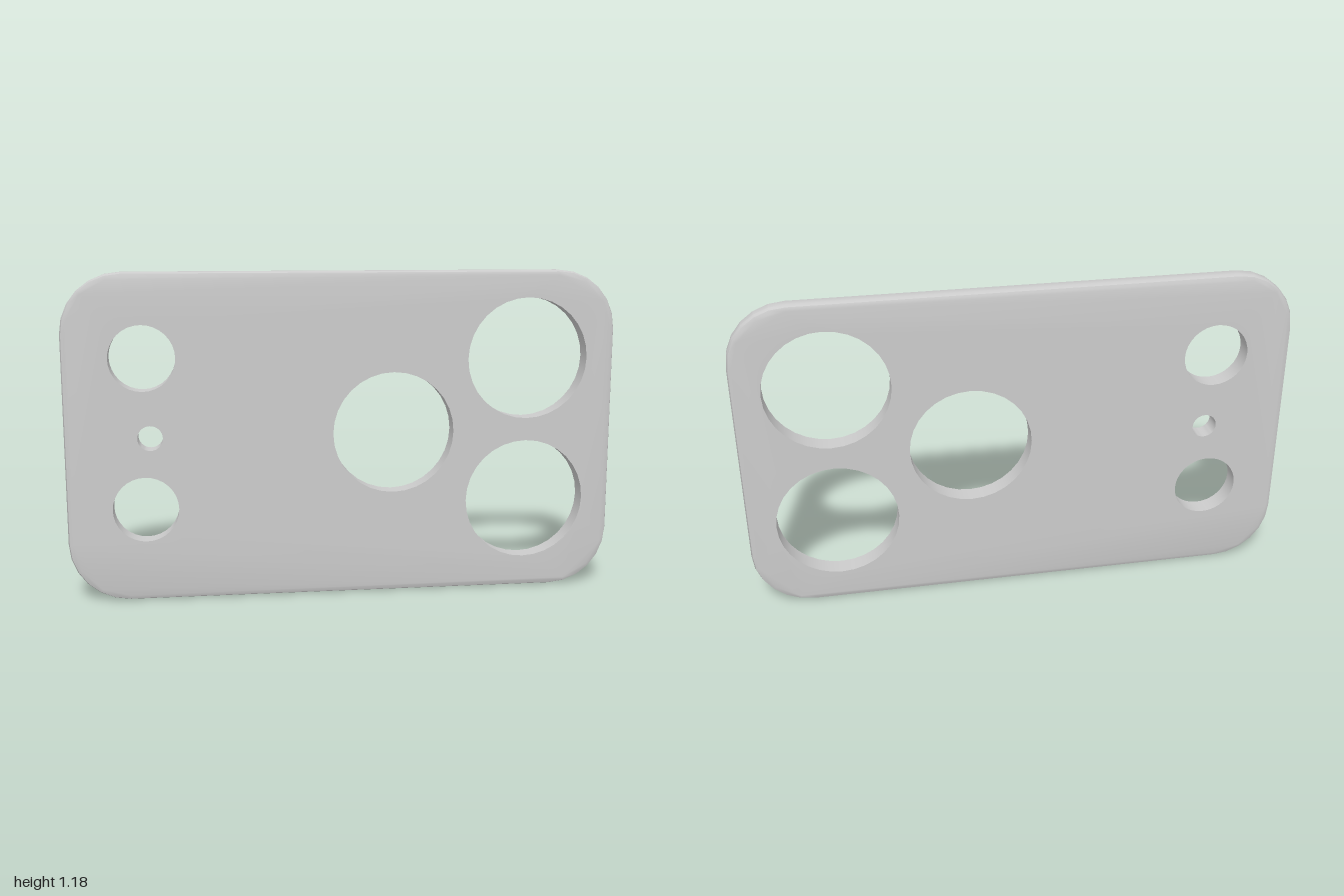
import * as THREE from 'three';
import { toCreasedNormals } from 'three/addons/utils/BufferGeometryUtils.js';

const W = 2, H = 1.185, DEPTH = 0.07, CORNER = 0.215, BEVEL = 0.018;

// Round openings: x, y, radius
const HOLES = [
  [0.675, 0.865, 0.222], [0.675, 0.338, 0.222], [0.18, 0.6, 0.222],
  [-0.72, 0.884, 0.118], [-0.72, 0.338, 0.118], [-0.698, 0.598, 0.045],
];

// Rounded rectangle with faceted corners
function outline() {
  const points = [], steps = 6;
  const cx = W / 2 - CORNER, cy = H / 2 - CORNER;
  [[1, 1], [-1, 1], [-1, -1], [1, -1]].forEach(([sx, sy], q) => {
    for (let i = 0; i <= steps; i++) {
      const a = (q + i / steps) * Math.PI / 2;
      points.push(new THREE.Vector2(sx * cx + CORNER * Math.cos(a), H / 2 + sy * cy + CORNER * Math.sin(a)));
    }
  });
  return new THREE.Shape(points);
}

export function createModel() {
  const group = new THREE.Group();
  group.name = 'cameraPlate';

  const shape = outline();
  for (const [x, y, r] of HOLES) {
    shape.holes.push(new THREE.Path().absarc(x, y, r, 0, Math.PI * 2, true));
  }
  let geometry = new THREE.ExtrudeGeometry(shape, {
    depth: DEPTH - 2 * BEVEL, curveSegments: 16,
    bevelEnabled: true, bevelThickness: BEVEL, bevelSize: BEVEL, bevelOffset: -BEVEL, bevelSegments: 2,
  });
  geometry.translate(0, 0, BEVEL - DEPTH / 2);

  // Only the outer rim is bevelled: pull the hole walls back to straight cylinders
  const pos = geometry.attributes.position;
  for (let i = 0; i < pos.count; i++) {
    for (const [x, y, r] of HOLES) {
      const dx = pos.getX(i) - x, dy = pos.getY(i) - y, d = Math.hypot(dx, dy);
      if (d < r + BEVEL * 1.5) pos.setXY(i, x + dx * r / d, y + dy * r / d);
    }
  }
  geometry = toCreasedNormals(geometry, 0.45);

  const plate = new THREE.Mesh(geometry, new THREE.MeshStandardMaterial({ color: 0xcccccc }));
  plate.name = 'plate';
  group.add(plate);
  return group;
}
